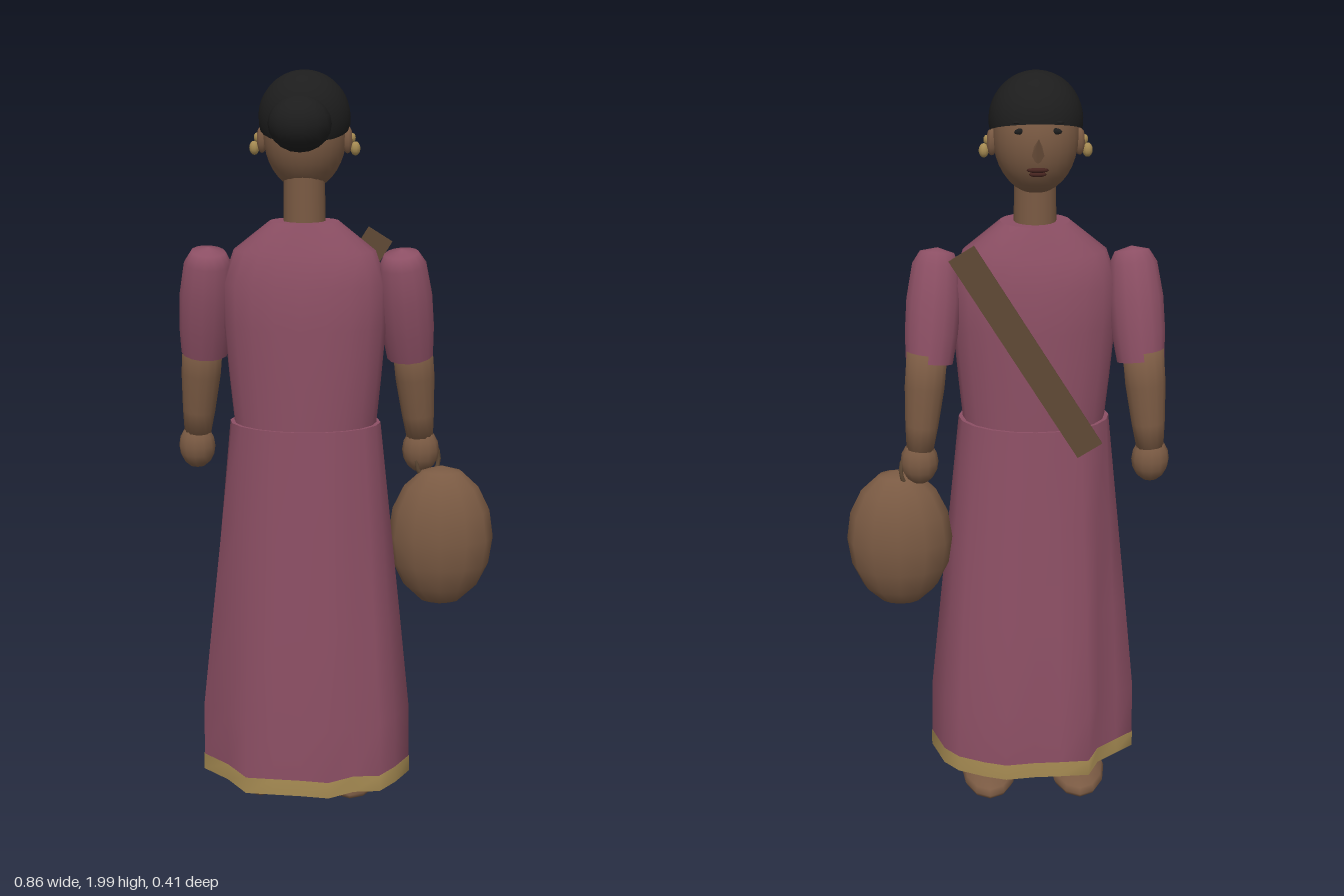
import * as THREE from 'three';

const mat = (name, color, side = THREE.FrontSide) => {
  const m = new THREE.MeshStandardMaterial({ color, side });
  m.name = name;
  return m;
};

export function createModel() {
  const cloth = mat('plum cloth', 0x8c4f64, THREE.DoubleSide);
  const skin = mat('brown skin', 0x7a5a43);
  const hair = mat('black hair', 0x1d1d1d);
  const gold = mat('gold', 0xa58a52, THREE.DoubleSide);
  const strap = mat('strap brown', 0x5f4935);
  const lip = mat('dark lips', 0x46241f);
  const CX = -0.08; // centre line of the body
  const root = new THREE.Group();
  root.name = 'womanWithBag';

  const add = (name, geo, material, pos = [0, 0, 0], scale = [1, 1, 1], rot = [0, 0, 0]) => {
    const m = new THREE.Mesh(geo, material);
    m.name = name;
    m.position.set(...pos);
    m.scale.set(...scale);
    m.rotation.set(...rot);
    root.add(m);
    return m;
  };
  const ball = (name, material, pos, scale, w = 16, h = 12, rot) =>
    add(name, new THREE.SphereGeometry(1, w, h), material, pos, scale, rot);

  // Skin through closed rings given from bottom to top
  const loft = (rings) => {
    const n = rings[0].length, idx = [];
    for (let r = 0; r < rings.length - 1; r++)
      for (let i = 0; i < n; i++) {
        const a = r * n + i, b = r * n + (i + 1) % n;
        idx.push(a, a + n, b, b, a + n, b + n);
      }
    const g = new THREE.BufferGeometry();
    g.setAttribute('position', new THREE.Float32BufferAttribute(rings.flat(2), 3));
    g.setIndex(idx);
    g.computeVertexNormals();
    return g;
  };
  const ellipse = (y, rx, rz, cz = 0.018, n = 20) => Array.from({ length: n }, (_, i) => {
    const a = i / n * Math.PI * 2;
    return [CX + rx * Math.cos(a), y, cz + rz * Math.sin(a)];
  });

  // Bodice; the doubled ring keeps the neckline crisp
  add('bodice', loft([
    ellipse(1.06, 0.186, 0.132), ellipse(1.2, 0.2, 0.134), ellipse(1.35, 0.213, 0.134),
    ellipse(1.46, 0.214, 0.132), ellipse(1.545, 0.185, 0.108), ellipse(1.62, 0.09, 0.08),
    ellipse(1.62, 0.09, 0.08), ellipse(1.62, 0.001, 0.001),
  ]), cloth);

  // Skirt with an uneven, pleated outline
  const hem = [
    [0.285, 0], [0.25, 0.075], [0.21, 0.135], [0.14, 0.145], [0.075, 0.19], [0, 0.182],
    [-0.075, 0.178], [-0.15, 0.174], [-0.21, 0.095], [-0.285, 0.03], [-0.285, -0.03],
    [-0.235, -0.07], [-0.18, -0.115], [-0.15, -0.18], [-0.07, -0.185], [0, -0.187],
    [0.08, -0.197], [0.14, -0.178], [0.21, -0.145], [0.25, -0.1],
  ];
  const skirtRing = (y, t, k = 1) => ellipse(0, 0.2, 0.139).map(([x, , z], i) => [
    CX + k * THREE.MathUtils.lerp(x - CX, hem[i][0], t), y,
    0.01 + k * THREE.MathUtils.lerp(z - 0.01, hem[i][1], t)]);
  add('skirt', loft([
    skirtRing(0.13, 1), skirtRing(0.28, 0.98), skirtRing(0.55, 0.66), skirtRing(0.82, 0.33),
    skirtRing(1.09, 0), skirtRing(1.09, 0), skirtRing(1.09, 0, 0.9),
  ]), cloth);
  add('hemBand', loft([
    skirtRing(0.125, 1, 0.002), skirtRing(0.115, 1, 0.7), skirtRing(0.085, 1, 0.985),
    skirtRing(0.085, 1, 0.985), skirtRing(0.085, 1, 1.006), skirtRing(0.085, 1, 1.006),
    skirtRing(0.13, 1, 1.006), skirtRing(0.13, 1, 0.99),
  ]), gold);

  // Neck and head, facing -z
  add('neck', new THREE.CylinderGeometry(0.053, 0.055, 0.15, 16), skin, [CX, 1.665, 0.015]);
  ball('head', skin, [CX, 1.838, -0.005], [0.107, 0.142, 0.108], 24, 18);
  add('hairCap', new THREE.SphereGeometry(1, 24, 14, 0, Math.PI * 2, 0, Math.PI * 0.57), hair,
    [CX, 1.88, 0], [0.118, 0.12, 0.113], [0.3, 0, 0]);
  ball('hairBun', hair, [CX, 1.872, 0.133], [0.08, 0.07, 0.074], 14, 10);
  add('nose', new THREE.ConeGeometry(0.022, 0.07, 6), skin, [CX, 1.832, -0.117], [1, 1, 1], [-0.75, 0, 0]);
  ball('upperLip', lip, [CX, 1.773, -0.099], [0.028, 0.007, 0.009], 10, 6);
  ball('lowerLip', lip, [CX, 1.762, -0.096], [0.022, 0.007, 0.009], 10, 6);

  // Strap lying diagonally across the chest
  const dx = -0.33, dy = -0.53;
  add('chestStrap', new THREE.BoxGeometry(0.075, Math.hypot(dx, dy), 0.006), strap,
    [CX + 0.025, 1.305, -0.121], [1, 1, 1], [0, 0, -Math.atan2(dx, dy) + Math.PI]);

  // Tapered limb between two points
  const limb = (name, material, a, b, profile) => {
    const A = new THREE.Vector3(...a), d = new THREE.Vector3(...b).sub(A), len = d.length();
    const pts = profile.map(([r, t]) => new THREE.Vector2(r, t * len));
    const m = add(name, new THREE.LatheGeometry(pts, 14), material, a);
    m.quaternion.setFromUnitVectors(new THREE.Vector3(0, 1, 0), d.normalize());
  };

  for (const [s, side] of [[1, 'left'], [-1, 'right']].map(([k, n]) => [k, k > 0 ? 'right' : 'left'])) {
    const X = (d) => CX + s * d;
    // Face details
    ball(side + 'Eye', hair, [X(0.042), 1.868, -0.098], [0.018, 0.008, 0.006], 10, 6, [0, s * 0.4, 0]);
    ball(side + 'Brow', hair, [X(0.042), 1.89, -0.094], [0.024, 0.004, 0.008], 8, 6, [0, s * 0.4, 0]);
    ball(side + 'Ear', skin, [X(0.11), 1.825, 0], [0.014, 0.035, 0.02], 10, 8);
    ball(side + 'Earring', gold, [X(0.13), 1.803, 0], [0.013, 0.018, 0.013], 10, 8);
    ball(side + 'EarringStud', gold, [X(0.123), 1.83, 0], [0.008, 0.012, 0.008], 8, 6);
    // Sleeve, forearm, hand
    limb(side + 'Sleeve', cloth, [X(0.275), 1.26, -0.04], [X(0.25), 1.55, 0.022],
      [[0, 0], [0.062, 0], [0.062, 0], [0.07, 0.25], [0.072, 0.55], [0.063, 0.85], [0.045, 0.96], [0, 1]]);
    limb(side + 'Forearm', skin, [X(0.303), 1.03, -0.07], [X(0.28), 1.29, -0.045],
      [[0, 0], [0.036, 0], [0.044, 0.25], [0.053, 0.65], [0.054, 1], [0, 1]]);
    ball(side + 'Hand', skin, [X(0.305), 0.995, -0.068], [0.05, 0.062, 0.044], 12, 8);
    // Foot
    ball(side + 'Foot', skin, [X(0.125), 0.043, -0.055], [0.078, 0.037, 0.15], 12, 8);
  }

  // Round bag hanging from one hand, with its handle
  ball('bag', skin, [0.283, 0.762, -0.038], [0.142, 0.197, 0.1], 12, 8);
  add('bagHandle', new THREE.TorusGeometry(0.045, 0.007, 6, 14), strap,
    [0.245, 0.97, -0.055], [0.8, 1.1, 1], [0, 0.6, 0]);

  return root;
}
